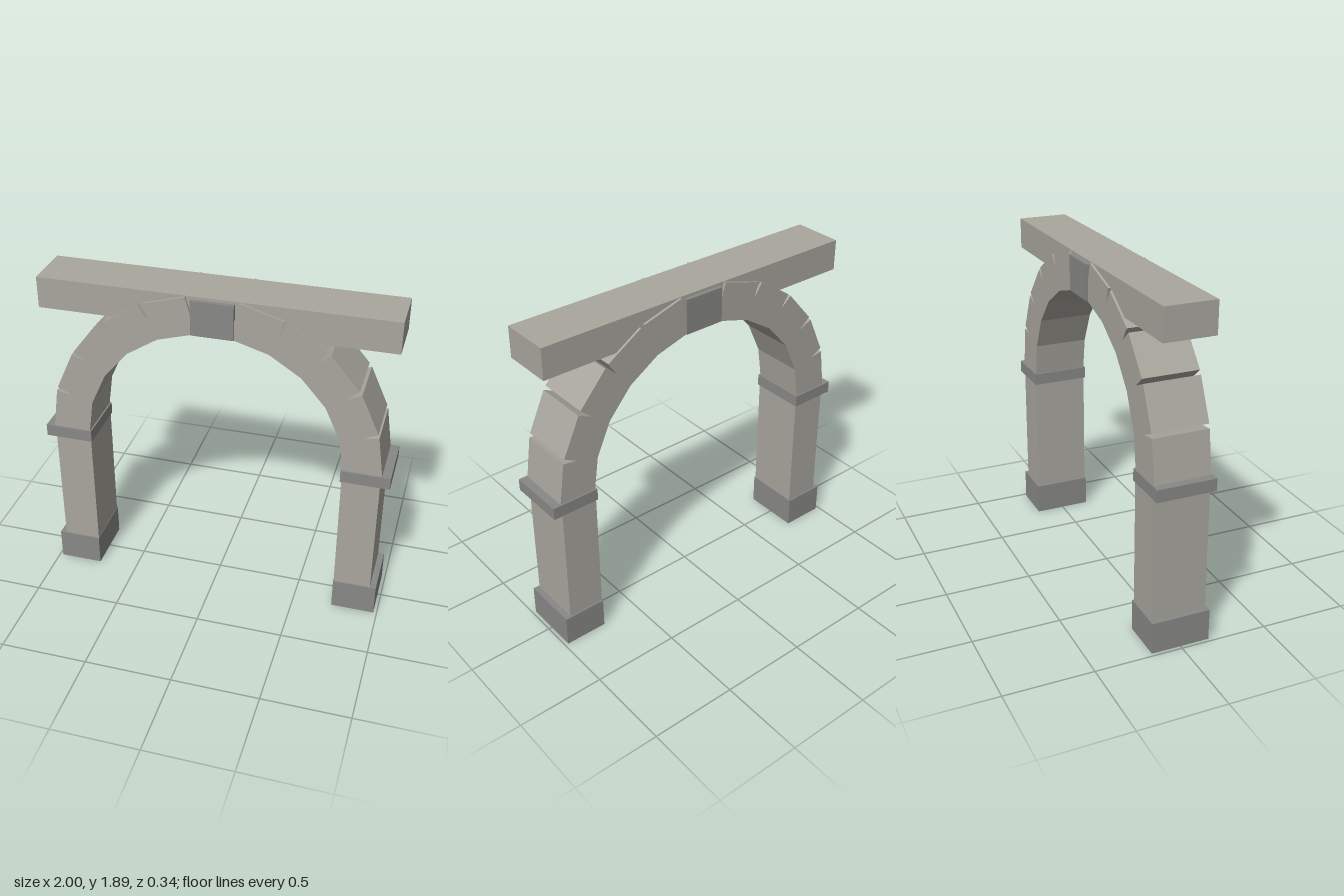
import * as THREE from 'three';

const stone = new THREE.MeshStandardMaterial({ color: 0xa8a69d, flatShading: true });
const trim = new THREE.MeshStandardMaterial({ color: 0x888886, flatShading: true });

// Box given by its extents in x and y and its depth in z
function block(name, x0, x1, y0, y1, depth, material) {
  const mesh = new THREE.Mesh(new THREE.BoxGeometry(x1 - x0, y1 - y0, depth), material);
  mesh.position.set((x0 + x1) / 2, (y0 + y1) / 2, 0);
  mesh.name = name;
  return mesh;
}

// Pier with plinth and impost; side is +1 (left) or -1 (right)
function createPier(side) {
  const pier = new THREE.Group();
  pier.name = side > 0 ? 'leftPier' : 'rightPier';
  const add = (name, inner, outer, y0, y1, depth, material) =>
    pier.add(block(name, Math.min(side * inner, side * outer), Math.max(side * inner, side * outer), y0, y1, depth, material));
  add('plinth', 0.73, 0.98, 0, 0.182, 0.335, trim);
  add('shaft', 0.732, 0.945, 0.182, 0.897, 0.318, stone);
  add('impost', 0.725, 1.0, 0.897, 0.967, 0.335, trim);
  return pier;
}

// Ring of straight-sided blocks: overlapping inside, open joints outside
function createArch() {
  const arch = new THREE.Group();
  arch.name = 'arch';
  const count = 11, centreY = 0.95, inner = 0.729, outer = 0.944, length = 0.246;
  const radius = (inner + outer) / 2;
  const geometry = new THREE.BoxGeometry(outer - inner, length, 0.318);
  for (let i = 0; i < count; i++) {
    if (i === (count - 1) / 2) continue; // place of the keystone
    const angle = ((i + 0.5) / count) * Math.PI;
    const voussoir = new THREE.Mesh(geometry, stone);
    voussoir.name = 'voussoir' + (i + 1);
    voussoir.position.set(radius * Math.cos(angle), centreY + radius * Math.sin(angle), 0);
    voussoir.rotation.z = angle;
    arch.add(voussoir);
  }
  arch.add(block('keystone', -0.118, 0.118, 1.677, 1.877, 0.335, trim));
  return arch;
}

export function createModel() {
  const model = new THREE.Group();
  model.name = 'stoneArchway';
  model.add(createPier(1), createPier(-1), createArch());
  // Lintel beam running through the crown
  model.add(block('lintel', -0.982, 0.982, 1.715, 1.893, 0.29, stone));
  return model;
}
